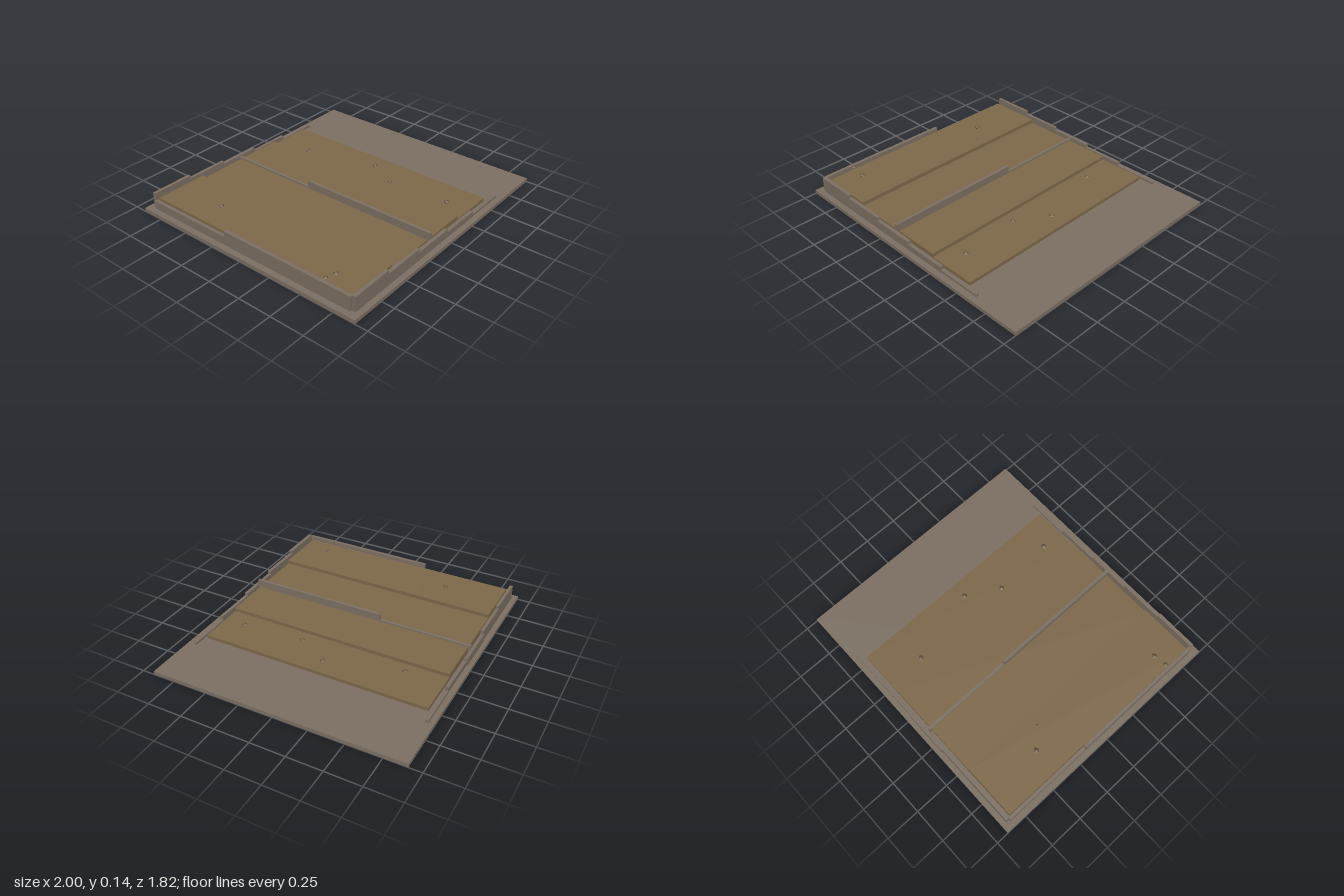
import * as THREE from 'three';

export function createModel() {
  const group = new THREE.Group();
  const mat = (name, color) => {
    const m = new THREE.MeshStandardMaterial({ color });
    m.name = name;
    return m;
  };
  const stone = mat('stone', 0x7d7063);
  const soil = mat('soil', 0x7e694a);
  const rubble = mat('rubble', 0x6b5a42);
  const BASE = 0.027;

  // Box given by its limits on each axis
  function block(name, material, x0, x1, y0, y1, z0, z1) {
    const mesh = new THREE.Mesh(new THREE.BoxGeometry(x1 - x0, y1 - y0, z1 - z0), material);
    mesh.position.set((x0 + x1) / 2, (y0 + y1) / 2, (z0 + z1) / 2);
    mesh.name = name;
    group.add(mesh);
  }

  block('foundationSlab', stone, -1, 1, 0, BASE, -0.91, 0.91);

  // Earth floor in three steps, lowest to highest
  [[0.19, 0.53, 0.052], [-0.54, 0.19, 0.078], [-0.93, -0.54, 0.105]].forEach(([x0, x1, top], i) =>
    block(`floorTerrace${i + 1}`, soil, x0, x1, BASE, top, -0.83, 0.825));

  // Long walls crumbling down toward +x: end x, height, small outward shift front and back
  let x = -0.945;
  [[-0.633, 0.137, 0, 0], [-0.317, 0.114, 0, 0], [0, 0.09, 0, 0.006],
    [0.312, 0.07, 0, 0], [0.63, 0.044, -0.003, 0]].forEach(([end, top, f, b], i) => {
    block(`frontWall${i + 1}`, stone, x, end, BASE, top, 0.845 + f, 0.87 + f);
    block(`backWall${i + 1}`, stone, x, end, BASE, top, -0.873 - b, -0.85 - b);
    x = end;
  });

  // Cross walls, broken off low toward the back
  [['endWall', -0.958, -0.934], ['dividingWall', -0.165, -0.143]].forEach(([name, x0, x1]) => {
    block(`${name}High`, stone, x0, x1, BASE, 0.133, -0.17, 0.842);
    block(`${name}Low`, stone, x0, x1, BASE, 0.089, -0.847, -0.17);
  });

  // Scattered rubble: x, y, z, radius
  const rockGeo = new THREE.OctahedronGeometry(1);
  [[-0.745, 0.112, -0.42, 0.025], [-0.625, 0.106, -0.3, 0.011], [0.27, 0.06, -0.555, 0.025],
    [0.415, 0.055, -0.025, 0.025], [0.28, 0.06, 0.21, 0.025], [0.315, 0.061, 0.66, 0.025],
    [-0.82, 0.108, 0.625, 0.025], [-0.915, 0.134, 0.625, 0.022]].forEach(([px, py, pz, r], i) => {
    const rock = new THREE.Mesh(rockGeo, rubble);
    rock.position.set(px, py, pz);
    rock.scale.set(r, r * 0.5, r * 0.85);
    rock.name = `rubbleStone${i + 1}`;
    group.add(rock);
  });

  return group;
}
